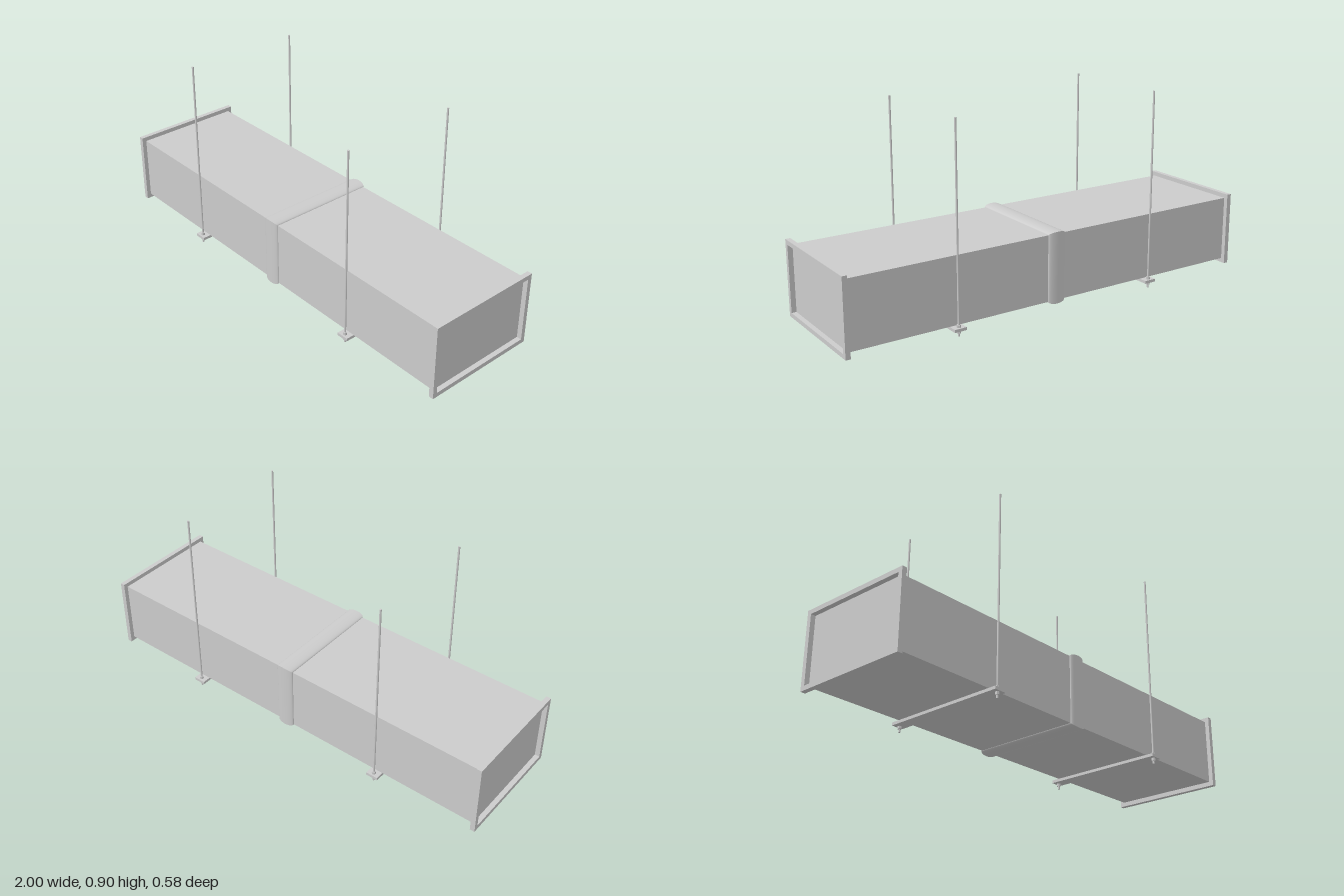
import * as THREE from 'three';

const X_END = 1, FLANGE = 0.022;
const Y0 = 0.04, Y1 = 0.34, HALF_Z = 0.25, MID_Y = (Y0 + Y1) / 2, HALF_Y = (Y1 - Y0) / 2;

export function createModel() {
  const group = new THREE.Group();
  const material = new THREE.MeshStandardMaterial({ color: 0xcccccc });

  const add = (name, geometry, x = 0, y = 0, z = 0) => {
    const mesh = new THREE.Mesh(geometry, material);
    mesh.name = name;
    mesh.position.set(x, y, z);
    group.add(mesh);
    return mesh;
  };

  // Rectangular duct, closed behind the end flanges
  add('duct', new THREE.BoxGeometry(2 * (X_END - FLANGE), 2 * HALF_Y, 2 * HALF_Z), 0, MID_Y, 0);

  // Rectangular flange frames at both ends
  const rect = (path, w, h) => {
    path.moveTo(-w, -h);
    path.lineTo(w, -h);
    path.lineTo(w, h);
    path.lineTo(-w, h);
    path.closePath();
    return path;
  };
  const frame = rect(new THREE.Shape(), HALF_Z + 0.02, HALF_Y + 0.02);
  frame.holes.push(rect(new THREE.Path(), HALF_Z, HALF_Y));
  const flangeGeometry = new THREE.ExtrudeGeometry(frame, { depth: FLANGE, bevelEnabled: false });
  flangeGeometry.rotateY(Math.PI / 2);
  add('leftFlange', flangeGeometry, X_END - FLANGE, MID_Y, 0);
  add('rightFlange', flangeGeometry, -X_END, MID_Y, 0);

  // Rounded joint collar around the middle, mitred at the corners
  add('jointCollar', collarGeometry(0.042, 0.012, 16), 0, MID_Y, 0);

  // Trapeze hangers: a cross bar, two threaded rods and their nuts
  const barGeometry = new THREE.BoxGeometry(0.056, 0.013, 0.576);
  const rodGeometry = new THREE.CylinderGeometry(0.0045, 0.0045, 0.905, 12);
  const nutGeometry = new THREE.CylinderGeometry(0.009, 0.009, 0.012, 6).toNonIndexed();
  nutGeometry.computeVertexNormals();
  for (const x of [-0.5, 0.5]) {
    add('hangerBar', barGeometry, x, 0.0325, 0);
    for (const z of [-0.272, 0.272]) {
      add('hangerRod', rodGeometry, x, 0.4525, z);
      add('upperNut', nutGeometry, x, 0.045, z);
      add('lowerNut', nutGeometry, x, 0.02, z);
    }
  }
  return group;
}

// Four domed strips, one per duct side, smooth along x and sharp at the corners
function collarGeometry(halfWidth, rise, steps) {
  const positions = [], indices = [];
  const corners = [[-1, 1], [1, 1], [1, -1], [-1, -1]]; // signs of z and y
  for (let side = 0; side < 4; side++) {
    const base = positions.length / 3;
    for (let i = 0; i <= steps; i++) {
      const angle = Math.PI * (i / steps - 0.5);
      const x = halfWidth * Math.sin(angle);
      const out = rise * Math.cos(angle);
      for (const [sz, sy] of [corners[side], corners[(side + 1) % 4]]) {
        positions.push(x, sy * (HALF_Y + out), sz * (HALF_Z + out));
      }
      if (i < steps) {
        const a = base + 2 * i;
        indices.push(a, a + 1, a + 2, a + 1, a + 3, a + 2);
      }
    }
  }
  const geometry = new THREE.BufferGeometry();
  geometry.setAttribute('position', new THREE.Float32BufferAttribute(positions, 3));
  geometry.setIndex(indices);
  geometry.computeVertexNormals();
  return geometry;
}
